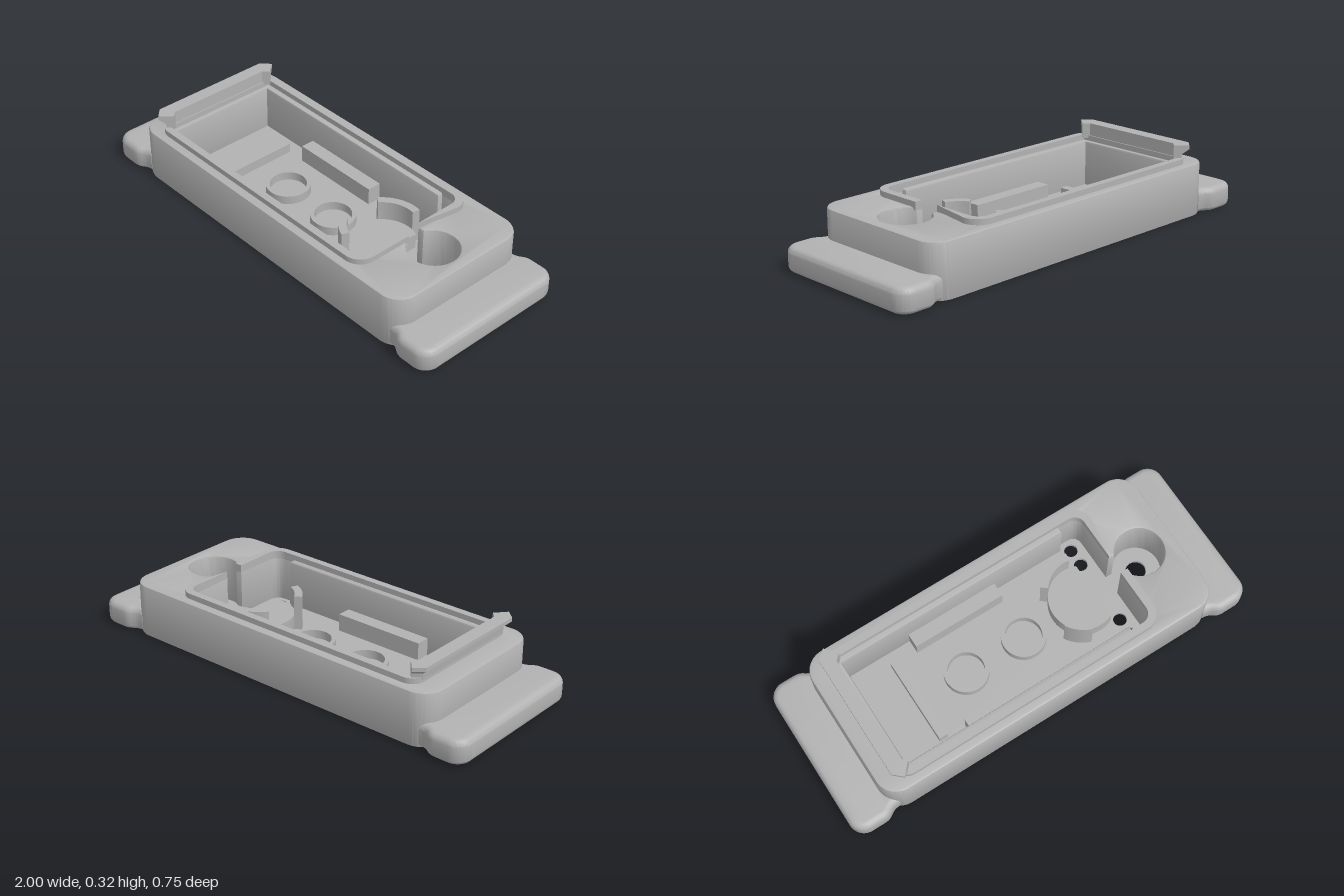
import * as THREE from 'three';
import { toCreasedNormals } from 'three/addons/utils/BufferGeometryUtils.js';

const grey = new THREE.MeshStandardMaterial({ color: 0xb2b2b2, side: THREE.DoubleSide });
grey.name = 'grey plastic';

export function createModel() {
  const model = new THREE.Group();
  model.name = 'sensorCase';

  function add(name, geometry) {
    const mesh = new THREE.Mesh(toCreasedNormals(geometry, 0.6), grey);
    mesh.name = name;
    model.add(mesh);
    return mesh;
  }

  // Upright slab from a plan drawn in x and -z
  function slab(name, shape, y0, y1, bevel = 0, segments = 1) {
    const g = new THREE.ExtrudeGeometry(shape, {
      depth: y1 - y0 - 2 * bevel, curveSegments: 20, bevelEnabled: bevel > 0,
      bevelThickness: bevel, bevelSize: bevel, bevelOffset: -bevel, bevelSegments: segments,
    });
    g.rotateX(-Math.PI / 2);
    g.translate(0, y0 + bevel, 0);
    return add(name, g);
  }

  function roundedRect(x0, x1, h, r) {
    const s = new THREE.Shape();
    s.absarc(x1 - r, -h + r, r, -Math.PI / 2, 0);
    s.absarc(x1 - r, h - r, r, 0, Math.PI / 2);
    s.absarc(x0 + r, h - r, r, Math.PI / 2, Math.PI);
    s.absarc(x0 + r, -h + r, r, Math.PI, Math.PI * 1.5);
    s.closePath();
    return s;
  }

  function circle(x, y, r) {
    const p = new THREE.Path();
    p.absarc(x, y, r, 0, Math.PI * 2);
    return p;
  }

  function box(name, x0, x1, y0, y1, z0, z1) {
    const g = new THREE.BoxGeometry(x1 - x0, y1 - y0, z1 - z0);
    g.translate((x0 + x1) / 2, (y0 + y1) / 2, (z0 + z1) / 2);
    add(name, g);
  }

  // Body walls around the open cavity, cable channel and round well
  const body = roundedRect(-0.825, 0.825, 0.356, 0.1);
  const cavity = new THREE.Path();
  cavity.moveTo(-0.68, -0.26);
  cavity.lineTo(0.43, -0.26);
  cavity.lineTo(0.43, -0.285);
  cavity.lineTo(0.48, -0.285);
  cavity.quadraticCurveTo(0.53, -0.285, 0.53, -0.235);
  cavity.lineTo(0.53, -0.045);
  cavity.absarc(0.66, 0, 0.11, Math.PI + 0.422, Math.PI * 3 - 0.422);
  cavity.lineTo(0.53, 0.045);
  cavity.lineTo(0.53, 0.235);
  cavity.quadraticCurveTo(0.53, 0.285, 0.48, 0.285);
  cavity.lineTo(0.43, 0.285);
  cavity.lineTo(0.43, 0.26);
  cavity.lineTo(-0.68, 0.26);
  cavity.closePath();
  body.holes.push(cavity);
  slab('bodyWalls', body, 0, 0.242, 0.01, 2);

  // Floor in two layers, with countersunk holes from below
  const holes = [[0.66, 0, 0.045, 0.075]];
  for (const z of [-0.235, -0.155, 0.155, 0.235]) holes.push([0.47, z, 0.03, 0.039]);
  const lower = roundedRect(-0.81, 0.81, 0.345, 0.09);
  const upper = roundedRect(-0.8, 0.8, 0.34, 0.09);
  for (const [x, z, r, R] of holes) {
    lower.holes.push(circle(x, -z, R));
    upper.holes.push(circle(x, -z, r));
    const cone = new THREE.CylinderGeometry(r, R, 0.015, 28, 1, true);
    cone.translate(x, 0.0075, z);
    add('countersink', cone);
  }
  slab('floorUnderside', lower, 0, 0.015);
  slab('floor', upper, 0.015, 0.03);

  // Raised lip, open at the cable channel
  const lip = new THREE.Shape();
  lip.moveTo(0.565, 0.045);
  lip.absarc(0.485, 0.238, 0.08, 0, Math.PI / 2);
  lip.absarc(-0.67, 0.258, 0.06, Math.PI / 2, Math.PI);
  lip.absarc(-0.67, -0.258, 0.06, Math.PI, Math.PI * 1.5);
  lip.absarc(0.485, -0.238, 0.08, -Math.PI / 2, 0);
  lip.lineTo(0.565, -0.045);
  lip.lineTo(0.53, -0.045);
  lip.absarc(0.48, -0.235, 0.05, 0, -Math.PI / 2, true);
  lip.lineTo(-0.695, -0.285);
  lip.lineTo(-0.695, 0.285);
  lip.absarc(0.48, 0.235, 0.05, Math.PI / 2, 0, true);
  lip.lineTo(0.53, 0.045);
  slab('lip', lip, 0.23, 0.267);

  // Flared catch along the left end: one profile swept over four stations
  const profile = [[0, 0.255], [0.5, 0.255], [0.55, 0.285], [1, 0.308], [1, 0.325], [0, 0.325]];
  const stations = [ // inner x, z and outer x, z
    [-0.675, 0.275, -0.72, 0.327], [-0.7, 0.25, -0.762, 0.288],
    [-0.7, -0.25, -0.762, -0.288], [-0.675, -0.275, -0.72, -0.327],
  ];
  const points = [], faces = [], n = profile.length;
  stations.forEach(([xi, zi, xo, zo], s) => {
    profile.forEach(([t, y], i) => {
      points.push(xi + (xo - xi) * t, y, zi + (zo - zi) * t);
      if (s < stations.length - 1) {
        const a = s * n + i, b = s * n + (i + 1) % n;
        faces.push(a, b, a + n, b, b + n, a + n);
      }
    });
  });
  const outline = profile.map(([t, y]) => new THREE.Vector2(t, y));
  const last = n * (stations.length - 1);
  for (const [a, b, c] of THREE.ShapeUtils.triangulateShape(outline, [])) {
    faces.push(a, c, b, last + a, last + b, last + c);
  }
  const catchGeometry = new THREE.BufferGeometry();
  catchGeometry.setAttribute('position', new THREE.Float32BufferAttribute(points, 3));
  catchGeometry.setIndex(faces);
  add('endCatch', catchGeometry);

  // Rounded strap loops at both ends
  for (const side of [0, Math.PI]) {
    const loop = new THREE.Shape();
    loop.moveTo(0.775, -0.345);
    loop.bezierCurveTo(0.83, -0.345, 0.82, -0.375, 0.87, -0.375);
    loop.absarc(0.93, -0.305, 0.07, -Math.PI / 2, 0);
    loop.absarc(0.93, 0.305, 0.07, 0, Math.PI / 2);
    loop.lineTo(0.87, 0.375);
    loop.bezierCurveTo(0.82, 0.375, 0.83, 0.345, 0.775, 0.345);
    loop.closePath();
    const slot = new THREE.Path();
    slot.absarc(0.869, 0.26, 0.045, 0, Math.PI);
    slot.absarc(0.869, -0.26, 0.045, Math.PI, Math.PI * 2);
    slot.closePath();
    loop.holes.push(slot);
    slab('strapLoop', loop, 0, 0.112, 0.03, 5).rotation.y = side;
  }

  // Supports on the cavity floor
  box('endRib', -0.49, -0.45, 0.02, 0.075, -0.2, 0.2);
  for (const s of [-1, 1]) {
    box('sideRib', -0.36, 0.08, 0.02, 0.11, Math.min(s * 0.195, s * 0.265), Math.max(s * 0.195, s * 0.265));
  }
  for (const x of [-0.23, 0.065]) {
    const ring = new THREE.Shape();
    ring.absarc(x, 0, 0.1, 0, Math.PI * 2);
    ring.holes.push(circle(x, 0, 0.082));
    slab('supportRing', ring, 0.02, 0.07);
  }

  // Round seat with a flat edge, and its two curved guards
  const seat = new THREE.Shape();
  const cut = Math.acos(0.06 / 0.15);
  seat.absarc(0.37, 0, 0.15, cut, Math.PI * 2 - cut);
  seat.closePath();
  slab('roundSeat', seat, 0.02, 0.1);
  for (const [from, to] of [[80, 144], [211, 250]]) {
    const a = THREE.MathUtils.degToRad(from), b = THREE.MathUtils.degToRad(to);
    const guard = new THREE.Shape();
    guard.absarc(0.37, 0, 0.185, a, b);
    guard.absarc(0.37, 0, 0.15, b, a, true);
    guard.closePath();
    slab('seatGuard', guard, 0.02, 0.19);
  }
  return model;
}
